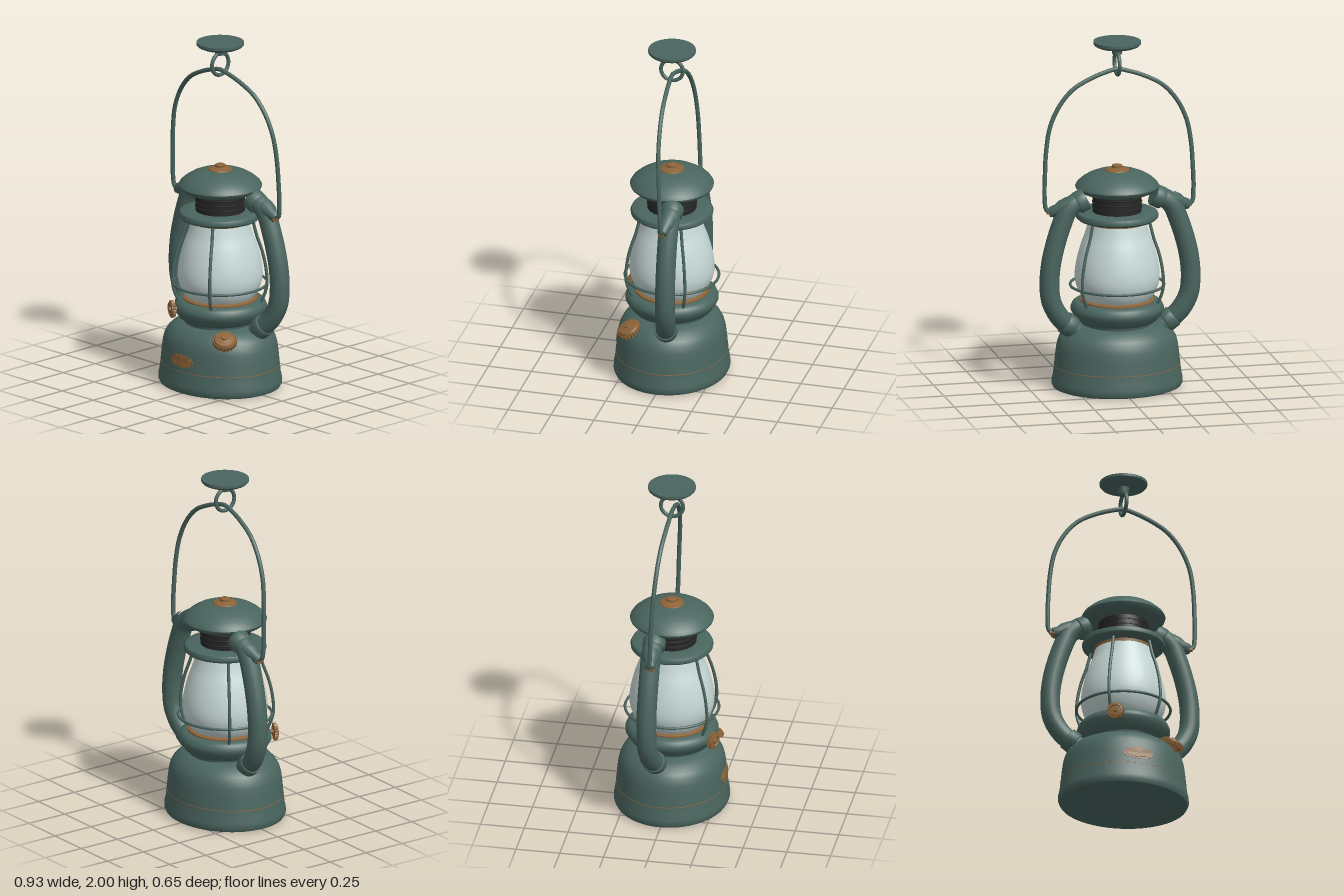
import * as THREE from 'three';
import { toCreasedNormals } from 'three/addons/utils/BufferGeometryUtils.js';

const material = (name, color) => {
  const m = new THREE.MeshStandardMaterial({ color });
  m.name = name;
  return m;
};
const V = (x, y, z) => new THREE.Vector3(x, y, z);

export function createModel() {
  const green = material('enamel green', 0x4a655f);
  const brass = material('aged brass', 0x8c6339);
  const black = material('soot black', 0x262626);
  const glass = material('frosted glass', 0xc6d8d6);
  const lantern = new THREE.Group();
  lantern.name = 'lantern';

  const add = (name, geometry, mat, parent = lantern) => {
    const mesh = new THREE.Mesh(geometry, mat);
    mesh.name = name;
    parent.add(mesh);
    return mesh;
  };
  // Turned part from [radius, height] pairs, bottom to top
  const turned = (name, profile, mat, parent = lantern, smooth = false, sides = 56) => {
    let points = profile.map(([r, y]) => new THREE.Vector2(r, y));
    if (smooth) points = new THREE.SplineCurve(points).getPoints(profile.length * 4);
    points.forEach((p) => { p.x = Math.max(p.x, 0); });
    return add(name, toCreasedNormals(new THREE.LatheGeometry(points, sides), 0.7), mat, parent);
  };
  const tube = (name, points, radius, mat, segments = 48, sides = 10) =>
    add(name, new THREE.TubeGeometry(new THREE.CatmullRomCurve3(points), segments, radius, sides), mat);
  // Group whose local y axis points along a direction
  const aimed = (name, position, direction) => {
    const g = new THREE.Group();
    g.name = name;
    g.position.copy(position);
    g.quaternion.setFromUnitVectors(V(0, 1, 0), direction.clone().normalize());
    lantern.add(g);
    return g;
  };

  // Oval fuel tank with a seam line
  const tank = turned('fuelTank', [[0, 0], [0.345, 0], [0.362, 0.007], [0.371, 0.025], [0.37, 0.05],
    [0.363, 0.08], [0.357, 0.13], [0.35, 0.2], [0.343, 0.25], [0.333, 0.285], [0.315, 0.315],
    [0.285, 0.343], [0.25, 0.36], [0.21, 0.37], [0, 0.372]], green);
  tank.scale.z = 0.875;
  const seam = turned('tankSeam', [[0.356, 0.127], [0.3585, 0.128], [0.358, 0.131], [0.355, 0.132]], brass);
  seam.scale.z = 0.875;

  // Burner collar and globe seat
  turned('burnerCollar', [[0.2, 0.36], [0.205, 0.38], [0.23, 0.395], [0.25, 0.425], [0.262, 0.447],
    [0.262, 0.462], [0.252, 0.485], [0.235, 0.497], [0.21, 0.5], [0, 0.5]], green);
  turned('globeSeat', [[0.21, 0.495], [0.21, 0.508], [0.195, 0.515], [0, 0.515]], brass);

  // Glass globe
  turned('globe', [[0.185, 0.505], [0.215, 0.55], [0.236, 0.61], [0.238, 0.67], [0.227, 0.74],
    [0.205, 0.82], [0.18, 0.89], [0.16, 0.965]], glass, lantern, true);

  // Hood plate, chimney, cap and finial
  turned('globeCollar', [[0.14, 0.95], [0.165, 0.95], [0.165, 0.975], [0.14, 0.975]], brass);
  turned('hoodPlate', [[0, 0.966], [0.19, 0.966], [0.218, 0.97], [0.231, 0.981], [0.233, 0.995],
    [0.226, 1.01], [0.21, 1.017], [0.14, 1.015], [0, 1.015]], green);
  turned('chimney', [[0.138, 1.01], [0.138, 1.15]], black);
  for (let i = 0; i < 3; i++) {
    const rib = add('chimneyRib', new THREE.TorusGeometry(0.138, 0.004, 6, 48), black);
    rib.rotation.x = Math.PI / 2;
    rib.position.y = 1.04 + i * 0.03;
  }
  turned('cap', [[0, 1.13], [0.14, 1.125], [0.18, 1.122], [0.215, 1.137], [0.233, 1.153], [0.236, 1.163],
    [0.226, 1.18], [0.2, 1.203], [0.165, 1.225], [0.12, 1.243], [0.07, 1.251], [0, 1.253]], green);
  turned('finial', [[0.07, 1.247], [0.066, 1.257], [0.035, 1.266], [0.03, 1.268], [0.03, 1.28],
    [0.022, 1.284], [0, 1.284]], brass, lantern, false, 24);

  // Wire guard around the globe
  const ring = add('guardRing', new THREE.TorusGeometry(0.264, 0.008, 8, 64), green);
  ring.rotation.x = Math.PI / 2;
  ring.position.y = 0.59;
  for (const [dx, dz] of [[0.55, 0.835], [-0.55, 0.835], [0.86, -0.51], [-0.86, -0.51]]) {
    tube('guardWire', [[0.232, 0.485], [0.258, 0.54], [0.272, 0.6], [0.267, 0.69], [0.245, 0.79],
      [0.213, 0.88], [0.188, 0.975]].map(([r, y]) => V(dx * r, y, dz * r)), 0.009, green, 28, 8);
  }

  // Side air tubes with collars, bail brackets and pivots
  for (const s of [-1, 1]) {
    const path = [[0.25, 0.35, -0.04], [0.3, 0.385, -0.045], [0.355, 0.445, -0.06], [0.397, 0.53, -0.068],
      [0.408, 0.63, -0.07], [0.398, 0.75, -0.07], [0.37, 0.87, -0.068], [0.335, 0.975, -0.066],
      [0.305, 1.045, -0.065], [0.265, 1.085, -0.063], [0.205, 1.105, -0.06]].map(([x, y, z]) => V(s * x, y, z));
    tube('airTube', path, 0.056, green, 64, 20);
    const sleeve = [[0, -0.03], [0.06, -0.03], [0.064, -0.025], [0.064, 0.025], [0.06, 0.03], [0, 0.03]];
    turned('lowerSleeve', sleeve, green, aimed('lowerSleeveMount', V(s * 0.292, 0.382, -0.044), V(s * 0.8, 0.62, -0.08)), false, 24);
    turned('upperSleeve', sleeve, green, aimed('upperSleeveMount', V(s * 0.222, 1.1, -0.06), V(-s * 0.88, 0.45, 0)), false, 24);

    const bracket = aimed('bailBracket', V(s * 0.31, 1.075, -0.062), V(s * 0.93, -0.36, 0.12));
    turned('bracketArm', [[0.05, -0.02], [0.045, 0.03], [0.033, 0.055], [0.031, 0.09], [0.024, 0.1], [0, 0.1]],
      green, bracket, false, 20);
    const pivot = aimed('pivot', V(s * 0.392, 1.043, -0.05), V(s, 0, 0));
    turned('pivotPin', [[0, -0.01], [0.026, -0.01], [0.026, 0.008], [0.012, 0.01], [0.012, 0.025], [0, 0.025]],
      brass, pivot, false, 20);
  }

  // Bail handle
  const half = [[0.39, 1.04, -0.05], [0.42, 1.055, -0.05], [0.43, 1.13, -0.046], [0.427, 1.26, -0.042],
    [0.418, 1.4, -0.036], [0.394, 1.53, -0.028], [0.34, 1.645, -0.021], [0.26, 1.735, -0.014],
    [0.16, 1.79, -0.007], [0.07, 1.822, -0.002]];
  tube('bailHandle', [...half.map(([x, y, z]) => V(-x, y, z)), V(0, 1.837, 0),
    ...half.slice().reverse().map(([x, y, z]) => V(x, y, z))], 0.0125, green, 120, 10);

  // Hanging ring and ceiling mount
  const hanger = add('hangingRing', new THREE.TorusGeometry(0.064, 0.011, 10, 40), green);
  hanger.rotation.y = Math.PI / 2;
  hanger.position.y = 1.87;
  turned('ceilingMount', [[0, 1.925], [0.027, 1.925], [0.034, 1.967], [0.11, 1.968], [0.125, 1.975],
    [0.134, 1.985], [0.134, 2], [0, 2]], green);

  // Knurled brass knob: toothed rim plus a turned top
  const knob = (name, position, direction, radius, height, teeth, crown) => {
    const g = aimed(name, position, direction);
    const outline = new THREE.Shape();
    for (let i = 0; i < teeth * 2; i++) {
      const a = (i * Math.PI) / teeth;
      const r = i % 2 ? radius : radius * 0.9;
      outline[i ? 'lineTo' : 'moveTo'](r * Math.cos(a), r * Math.sin(a));
    }
    outline.closePath();
    const rim = add('knurledRim', new THREE.ExtrudeGeometry(outline, { depth: height, bevelEnabled: false }), brass, g);
    rim.rotation.x = -Math.PI / 2;
    turned('knobTop', crown, brass, g, false, 28);
  };
  knob('fillerCap', V(0.225, 0.318, 0.182), V(0.34, 0.88, 0.34), 0.07, 0.024, 22,
    [[0.045, -0.05], [0.045, 0], [0.062, 0.01], [0.062, 0.024], [0.055, 0.034], [0.03, 0.037],
      [0.018, 0.04], [0.016, 0.048], [0, 0.05]]);
  knob('wickKnob', V(-0.117, 0.46, 0.25), V(-0.42, 0, 0.9), 0.05, 0.018, 20,
    [[0.012, -0.06], [0.012, 0], [0.042, 0.01], [0.042, 0.022], [0.03, 0.026], [0.027, 0.021],
      [0.014, 0.021], [0.012, 0.03], [0, 0.031]]);

  // Oval badge curved to the tank front
  const badge = (name, rx, ry, lift) => {
    const geo = new THREE.CylinderGeometry(1, 1, 0.008, 40, 1).rotateX(Math.PI / 2).scale(rx, ry, 1);
    const p = geo.attributes.position;
    for (let i = 0; i < p.count; i++) p.setZ(i, p.getZ(i) + lift - p.getX(i) ** 2 * 1.1 - p.getY(i) * 0.08);
    geo.computeVertexNormals();
    add(name, geo, brass).position.set(0, 0.192, 0.306);
  };
  badge('badgePlate', 0.086, 0.036, 0);
  badge('badgeInset', 0.07, 0.026, 0.003);

  return lantern;
}
